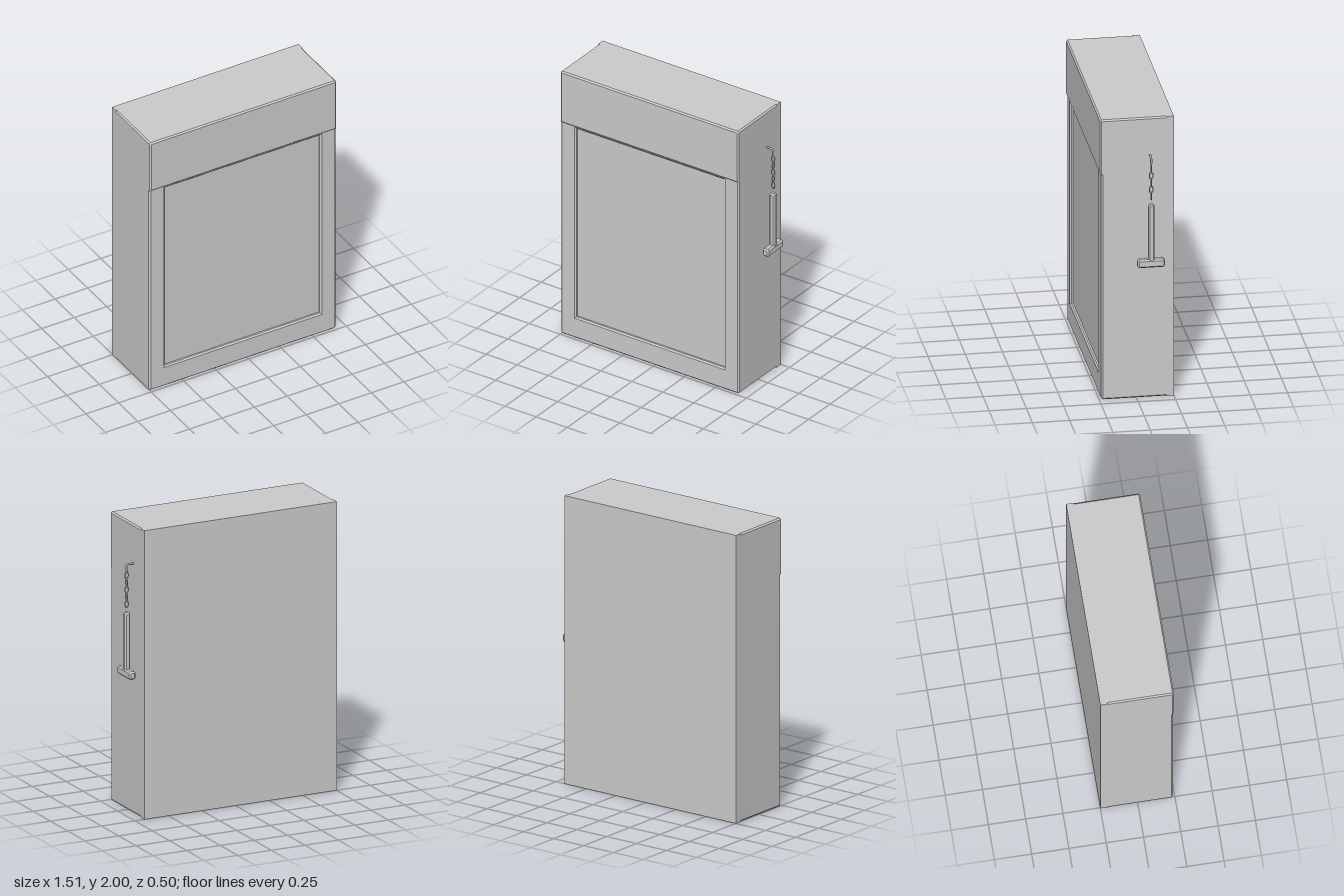
import * as THREE from 'three';

const material = new THREE.MeshStandardMaterial({ color: 0xcccccc });

function add(parent, name, geometry, x = 0, y = 0, z = 0) {
  const mesh = new THREE.Mesh(geometry, material);
  mesh.name = name;
  mesh.position.set(x, y, z);
  parent.add(mesh);
  return mesh;
}

// Rectangle outline with its bottom and top corners cut by the given amounts
function outline(x0, x1, y0, y1, cutBottom = 0, cutTop = 0) {
  const b = cutBottom, t = cutTop;
  const points = [];
  const corner = (...list) => list.forEach(([x, y]) => points.push(new THREE.Vector2(x, y)));
  if (b) corner([x0, y0 + b], [x0 + b, y0], [x1 - b, y0], [x1, y0 + b]);
  else corner([x0, y0], [x1, y0]);
  if (t) corner([x1, y1 - t], [x1 - t, y1], [x0 + t, y1], [x0, y1 - t]);
  else corner([x1, y1], [x0, y1]);
  return new THREE.Shape(points);
}

// Extrusion between two z planes with chamfered front and back rims
function slab(shape, z0, z1, c) {
  const geometry = new THREE.ExtrudeGeometry(shape, {
    depth: z1 - z0 - 2 * c, bevelEnabled: true, bevelSegments: 1,
    bevelSize: c, bevelThickness: c, bevelOffset: -c,
  });
  return geometry.translate(0, 0, z0 + c);
}

export function createModel() {
  const model = new THREE.Group();
  model.name = 'rollerBlindCabinet';
  const left = -0.755, right = 0.68, middle = (left + right) / 2, c = 0.01;

  // Square-edged plate at the back
  add(model, 'backPlate', new THREE.BoxGeometry(right - left, 2, 0.05), middle, 1, -0.225);

  // Front frame around the sunken panel
  const frame = outline(left, right, 0, 1.63, c, 0);
  frame.holes.push(outline(-0.635, 0.56, 0.16, 1.595));
  add(model, 'frame', slab(frame, -0.21, 0.237, c));
  add(model, 'panel', new THREE.BoxGeometry(1.22, 1.46, 0.03), -0.0375, 0.8775, 0.2);

  // Header box, standing slightly proud of the frame
  add(model, 'header', slab(outline(left, right, 1.61, 2, 0, c), -0.21, 0.245, c));

  // Pull chain on the side
  const pull = new THREE.Group();
  pull.name = 'pullChain';
  pull.position.set(0.73, 0, -0.09);
  model.add(pull);

  const hookPath = new THREE.CurvePath();
  const v = (x, y) => new THREE.Vector3(x, y, 0);
  hookPath.add(new THREE.LineCurve3(v(-0.06, 1.73), v(-0.012, 1.73)));
  hookPath.add(new THREE.QuadraticBezierCurve3(v(-0.012, 1.73), v(-0.001, 1.73), v(-0.001, 1.718)));
  hookPath.add(new THREE.LineCurve3(v(-0.001, 1.718), v(-0.001, 1.69)));
  add(pull, 'hook', new THREE.TubeGeometry(hookPath, 24, 0.007, 8));
  add(pull, 'hookTip', new THREE.SphereGeometry(0.007, 8, 6), -0.001, 1.69, 0);

  // Oval links, alternately turned by a quarter
  const link = new THREE.TorusGeometry(0.013, 0.0035, 6, 20);
  link.scale(1, 1.75, 1);
  for (let i = 0; i < 5; i++) {
    add(pull, 'chainLink', link, 0, 1.655 - i * 0.05, 0).rotation.y = (i % 2) * Math.PI / 2;
  }

  // Handle bar and its cross grip
  add(pull, 'handle', slab(outline(-0.021, 0.021, 0.99, 1.4, c, c), -0.021, 0.021, c));
  add(pull, 'grip', slab(outline(-0.024, 0.024, 0.953, 1.01, c, c), -0.09, 0.093, c));

  return model;
}
